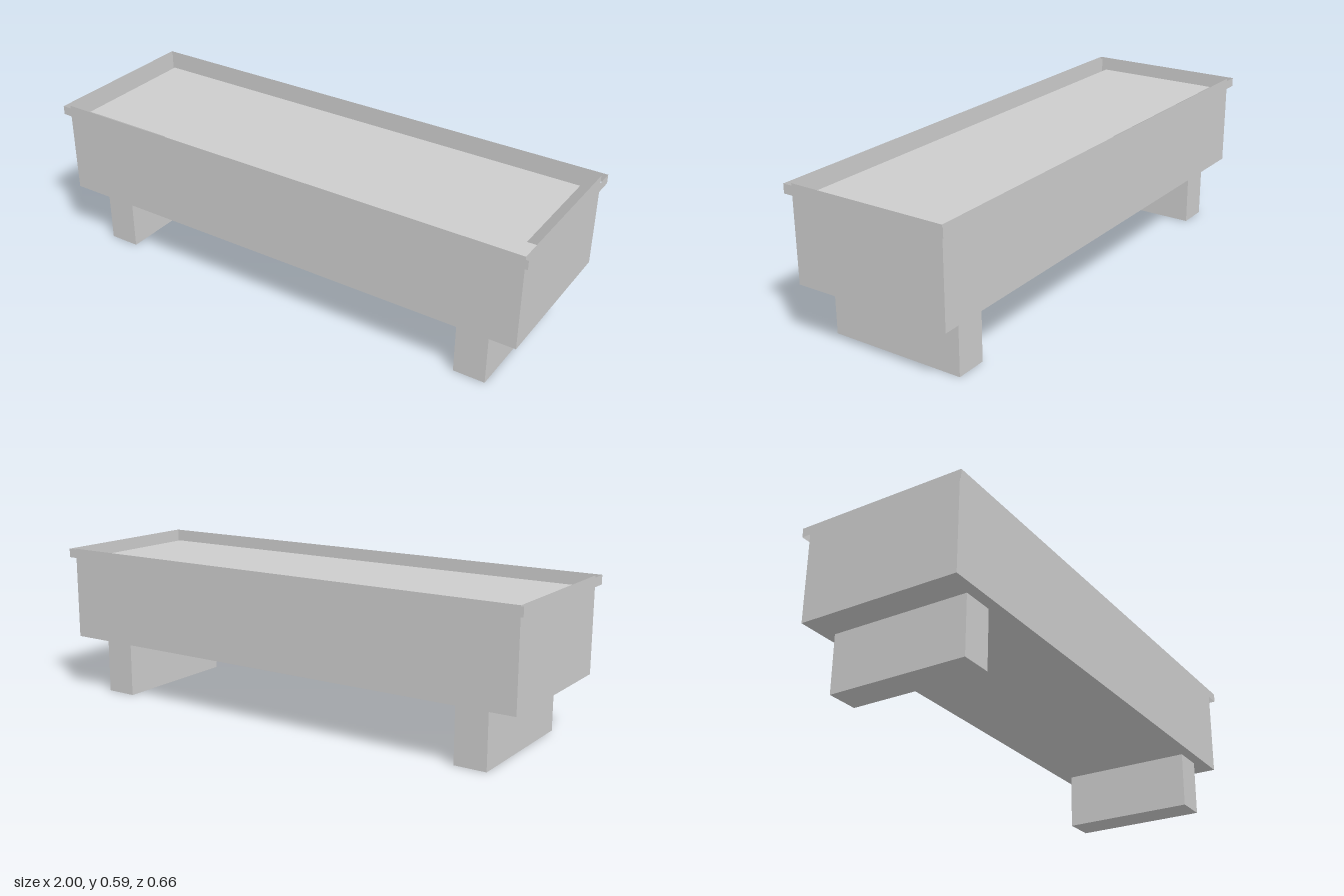
import * as THREE from 'three';

const grey = new THREE.MeshStandardMaterial({ color: 0xcccccc, side: THREE.DoubleSide });
grey.name = 'plain grey';

// Box face order: +x, -x, +y, -y, +z, -z
const SIDES = [0, 1, 4, 5];

// Thin-walled box that keeps only the listed faces
function shell(name, halfX, halfZ, y0, y1, faces) {
  const geometry = new THREE.BoxGeometry(halfX * 2, y1 - y0, halfZ * 2);
  const index = Array.from(geometry.index.array);
  geometry.setIndex(faces.flatMap((f) => index.slice(f * 6, f * 6 + 6)));
  geometry.clearGroups();
  const mesh = new THREE.Mesh(geometry, grey);
  mesh.name = name;
  mesh.position.y = (y0 + y1) / 2;
  return mesh;
}

export function createModel() {
  const model = new THREE.Group();
  model.name = 'planter';

  // Open trough: four walls and a bottom
  model.add(shell('trough', 0.982, 0.313, 0.225, 0.59, [...SIDES, 3]));

  // Band standing just outside the top of the walls
  model.add(shell('rimBand', 1, 0.331, 0.556, 0.591, SIDES));

  // Flat fill surface, leaving a gap along the walls
  const fill = new THREE.Mesh(new THREE.PlaneGeometry(1.856, 0.52), grey);
  fill.name = 'fillSurface';
  fill.rotation.x = -Math.PI / 2;
  fill.position.y = 0.557;
  model.add(fill);

  // Two block feet running front to back
  for (const side of [-1, 1]) {
    const foot = new THREE.Mesh(new THREE.BoxGeometry(0.124, 0.225, 0.54), grey);
    foot.name = side > 0 ? 'leftFoot' : 'rightFoot';
    foot.position.set(side * 0.802, 0.1125, 0);
    model.add(foot);
  }
  return model;
}
